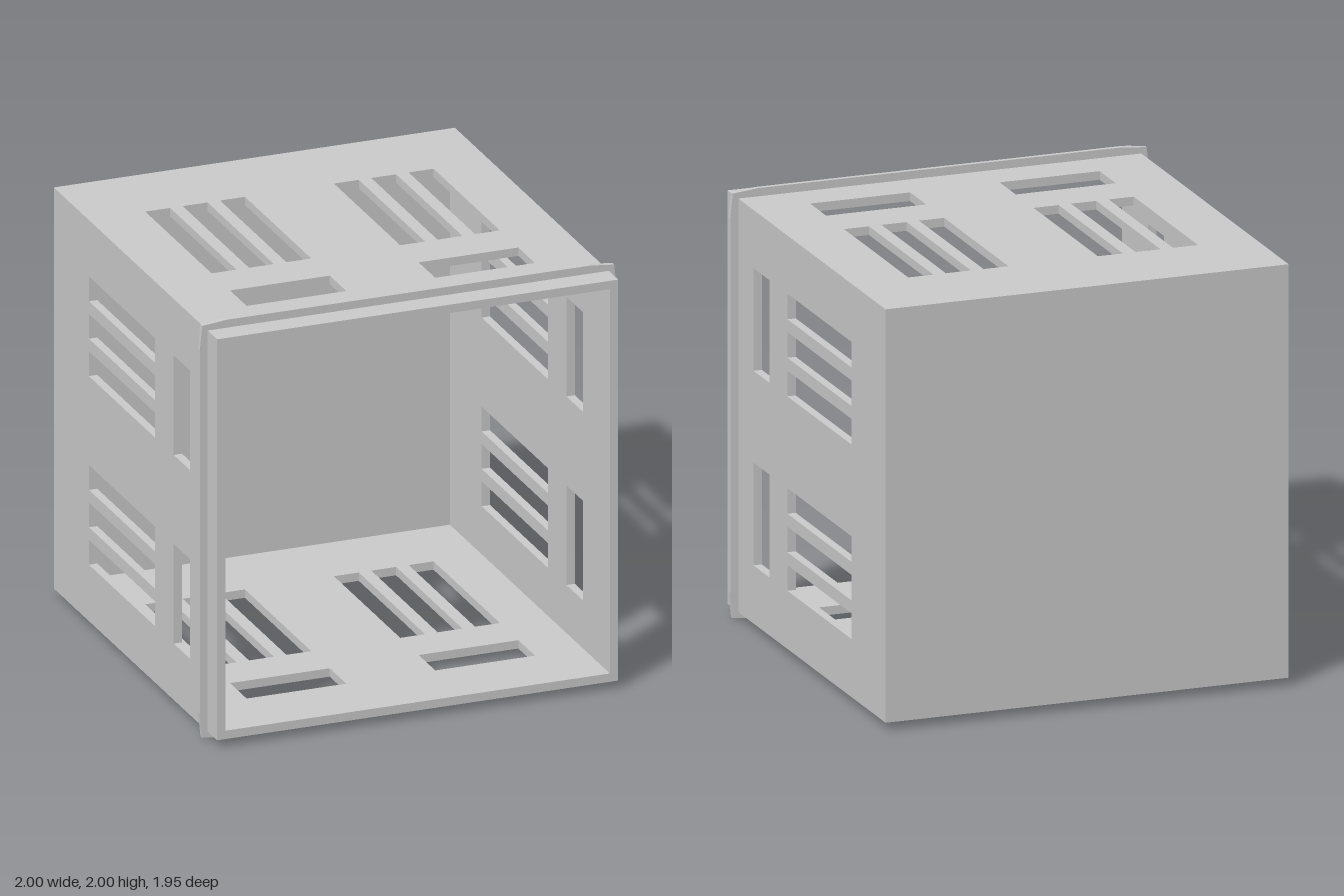
import * as THREE from 'three';

const HALF = 0.96;      // half width of the box
const DEPTH = 0.977;    // half depth
const WALL = 0.04;

const points = (list) => list.map(([x, y]) => new THREE.Vector2(x, y));
const rect = (x0, x1, y0, y1) => points([[x0, y0], [x1, y0], [x1, y1], [x0, y1]]);

function plate(outline, holes, depth) {
  const shape = new THREE.Shape(outline);
  holes.forEach((h) => shape.holes.push(new THREE.Path(h)));
  return new THREE.ExtrudeGeometry(shape, { depth, bevelEnabled: false });
}

// Wall lying flat with its outer face at y = HALF; slots mirrored left and right
function wallGeometry(halfWidth) {
  const holes = [];
  for (const s of [-1, 1]) {
    const slot = (a, b, z0, z1) => holes.push(rect(Math.min(s * a, s * b), Math.max(s * a, s * b), z0, z1));
    for (let i = 0; i < 3; i++) slot(0.213 + i * 0.179, 0.332 + i * 0.179, -0.557, 0.236);
    slot(0.213, 0.69, 0.457, 0.655);
  }
  return plate(rect(-halfWidth, halfWidth, -DEPTH + WALL, DEPTH), holes, WALL)
    .rotateX(Math.PI / 2)
    .translate(0, HALF, 0);
}

export function createModel() {
  const model = new THREE.Group();
  model.name = 'ventedBox';
  const material = new THREE.MeshStandardMaterial({ color: 0xcccccc, flatShading: true });

  const add = (name, geometry) => {
    const mesh = new THREE.Mesh(geometry, material);
    mesh.name = name;
    mesh.position.y = 1;
    model.add(mesh);
    return mesh;
  };

  // Four slotted walls, side walls fitted between top and bottom
  ['topWall', 'leftWall', 'bottomWall', 'rightWall'].forEach((name, i) => {
    add(name, wallGeometry(i % 2 ? HALF - WALL : HALF)).rotation.z = -i * Math.PI / 2;
  });

  // Closed back
  add('backWall', new THREE.BoxGeometry(2 * HALF, 2 * HALF, WALL)).position.z = -DEPTH + WALL / 2;

  // Thin flange around the open front, edges easing in at the corners
  const outline = [];
  for (let i = 0; i < 4; i++) {
    const a = i * Math.PI / 2;
    for (const [x, y] of [[0.998, -0.87], [0.998, 0.87], [0.986, 0.986]]) {
      outline.push([x * Math.cos(a) - y * Math.sin(a), x * Math.sin(a) + y * Math.cos(a)]);
    }
  }
  add('frontFlange', plate(points(outline), [rect(-HALF, HALF, -HALF, HALF)], 0.022)).position.z = 0.842;

  return model;
}
